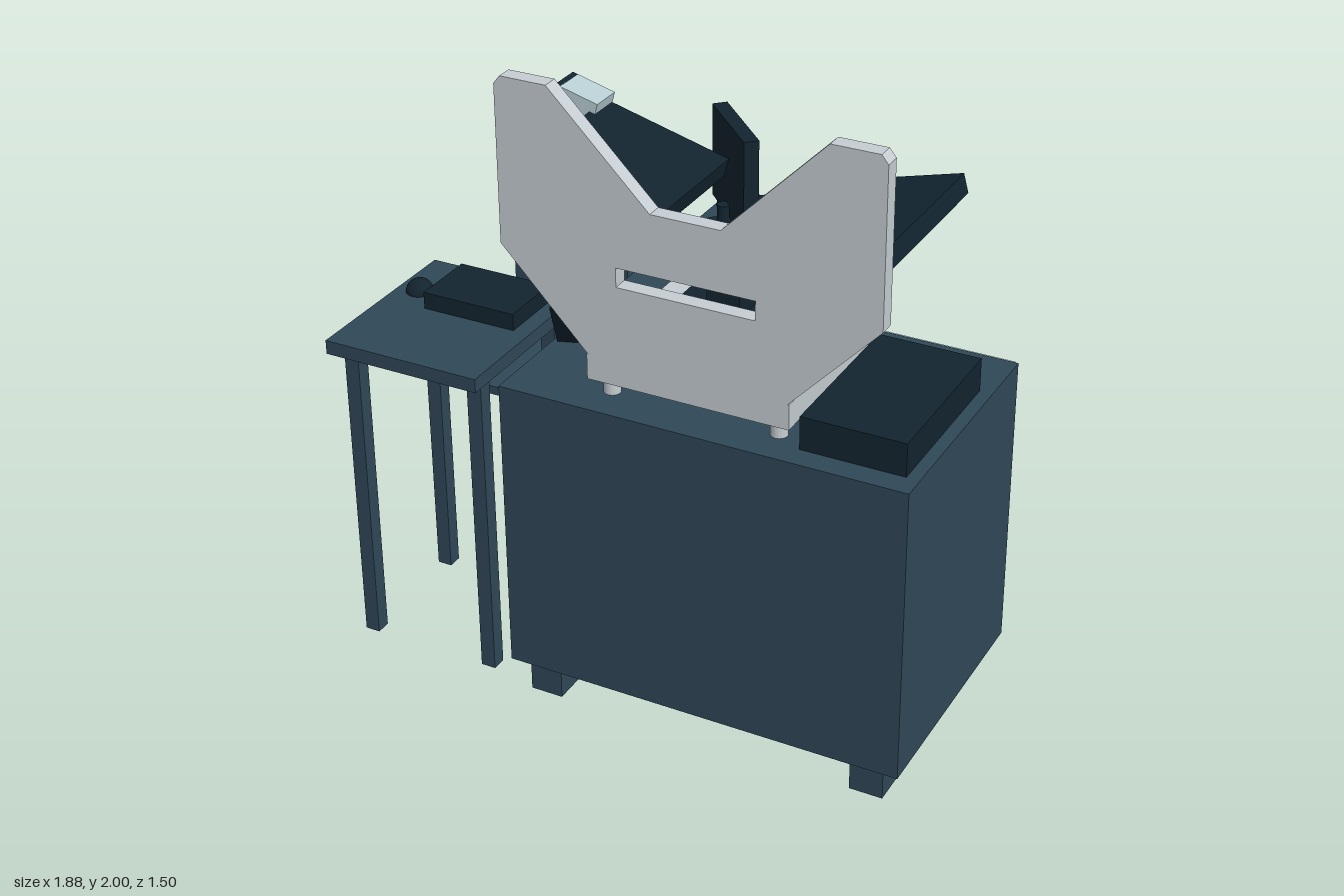
import * as THREE from 'three';

const mat = (color) => new THREE.MeshStandardMaterial({ color });
const body = mat(0x2f4858), black = mat(0x12242f), light = mat(0xb9cfd4), pale = mat(0xc6ced3);
const red = mat(0xd9504c), yellow = mat(0xd8c030);

export function createModel() {
  const model = new THREE.Group();

  const add = (name, geometry, material, x = 0, y = 0, z = 0, parent = model) => {
    const mesh = new THREE.Mesh(geometry, material);
    mesh.name = name;
    mesh.position.set(x, y, z);
    parent.add(mesh);
    return mesh;
  };
  // Box given by its limits on each axis
  const box = (name, material, [x0, x1], [y0, y1], [z0, z1], parent) =>
    add(name, new THREE.BoxGeometry(x1 - x0, y1 - y0, z1 - z0), material,
      (x0 + x1) / 2, (y0 + y1) / 2, (z0 + z1) / 2, parent);
  // Box given by centre and size, for tilted parts
  const block = (name, material, size, centre, parent) =>
    add(name, new THREE.BoxGeometry(...size), material, ...centre, parent);
  const disc = (name, material, r, h, x, y, z, parent) =>
    add(name, new THREE.CylinderGeometry(r, r, h, 40), material, x, y, z, parent);
  const ball = (name, material, r, x, y, z, parent) =>
    add(name, new THREE.SphereGeometry(r, 24, 16), material, x, y, z, parent);
  // Square posts at all pairs of the given x and z centres
  const posts = (name, w, h, xs, zs, parent) => {
    for (const x of xs) for (const z of zs)
      box(name, body, [x - w / 2, x + w / 2], [0, h], [z - w / 2, z + w / 2], parent);
  };
  const group = (name) => {
    const g = new THREE.Group();
    g.name = name;
    model.add(g);
    return g;
  };
  const polygon = (points) => new THREE.Shape(points.map(([x, y]) => new THREE.Vector2(x, y)));
  const extrude = (shape, depth) =>
    new THREE.ExtrudeGeometry(shape, { depth, bevelEnabled: false, curveSegments: 32 });

  // Main cabinet with its doors on the back
  const cabinet = group('mainCabinet');
  box('cabinetBody', body, [-0.34, 0.94], [0.11, 1.065], [-0.06, 0.745], cabinet);
  posts('cabinetFoot', 0.105, 0.11, [-0.235, 0.832], [0.03, 0.665], cabinet);
  box('lowerDoor', light, [-0.32, 0.4], [0.13, 0.765], [-0.09, -0.06], cabinet);
  box('upperDoor', light, [-0.32, 0.4], [0.775, 1.05], [-0.09, -0.06], cabinet);
  const door = polygon([[0.41, 0.13], [0.92, 0.13], [0.92, 1.05], [0.41, 1.05]]);
  door.holes.push(new THREE.Path().absarc(0.56, 0.85, 0.08, 0, Math.PI * 2, true));
  add('buttonDoor', extrude(door, 0.03), light, 0, 0, -0.09, cabinet);
  disc('buttonPlate', yellow, 0.06, 0.02, 0.56, 0.85, -0.068, cabinet).rotation.x = Math.PI / 2;
  ball('stopButton', red, 0.03, 0.56, 0.85, -0.088, cabinet);

  // Units resting on the main cabinet
  box('controlBox', black, [0.58, 0.9], [1.065, 1.17], [0.14, 0.67]);
  const keypad = block('tiltedPanel', black, [0.22, 0.18, 0.05], [-0.21, 1.16, 0.43]);
  keypad.rotation.set(0.52, 0.33, 0, 'YXZ');

  // Machine base and upright front plate with a slot
  const machine = group('machine');
  box('basePlate', pale, [-0.085, 0.55], [1.12, 1.2], [0.145, 0.675], machine);
  for (const x of [-0.035, 0.495]) for (const z of [0.2, 0.62])
    disc('basePin', pale, 0.026, 0.06, x, 1.093, z, machine);
  const plate = polygon([[-0.08, 1.2], [0.545, 1.2], [0.82, 1.49], [0.82, 1.975], [0.8, 2],
    [0.655, 2], [0.34, 1.683], [0.125, 1.683], [-0.19, 2], [-0.335, 2], [-0.355, 1.975], [-0.355, 1.49]]);
  plate.holes.push(new THREE.Path().setFromPoints(polygon(
    [[0.015, 1.435], [0.015, 1.495], [0.445, 1.495], [0.445, 1.435]]).getPoints()));
  add('frontPlate', extrude(plate, 0.05), pale, 0, 0, 0.625, machine);

  // Stage stack
  box('lowerStage', black, [0.02, 0.44], [1.2, 1.222], [0.16, 0.555], machine);
  box('stageNeck', black, [0.06, 0.4], [1.222, 1.235], [0.2, 0.54], machine);
  box('crossStage', black, [0.07, 0.39], [1.23, 1.295], [0.16, 0.58], machine);
  box('stageColumn', black, [0.18, 0.285], [1.29, 1.46], [0.29, 0.45], machine);
  disc('stageDisc', black, 0.16, 0.018, 0.232, 1.466, 0.37, machine);
  for (const [y, z] of [[1.39, 0.265], [1.255, 0.132], [1.255, 0.565]])
    disc('stageKnob', pale, 0.02, 0.06, 0.232, y, z, machine).rotation.x = Math.PI / 2;

  // Two inclined wings rising outwards
  const tilt = Math.PI / 12;
  for (const s of [-1, 1])
    block('wing', black, [0.42, 0.06, 0.53], [0.232 + s * 0.373, 1.625, 0.357], machine)
      .rotation.z = s * tilt;
  const sensor = group('wingSensor');
  sensor.position.set(-0.385, 1.702, 0.142);
  sensor.rotation.z = -tilt;
  block('sensorBody', light, [0.13, 0.105, 0.105], [0, 0, 0], sensor);
  block('sensorCap', black, [0.018, 0.105, 0.105], [-0.072, 0, 0], sensor);

  // Work table with keyboard and mouse
  const table = group('table');
  box('tableTop', body, [-0.94, -0.42], [1.02, 1.065], [0.15, 0.745], table);
  posts('tableLeg', 0.048, 1.02, [-0.896, -0.466], [0.238, 0.66], table);
  box('tableKeyboard', black, [-0.79, -0.475], [1.065, 1.12], [0.225, 0.44], table);
  ball('tableMouse', black, 0.043, -0.865, 1.065, 0.35, table);

  // Chair behind the table
  const chair = group('chair');
  box('chairSeat', body, [-0.895, -0.47], [0.61, 0.64], [-0.3, 0.125], chair);
  box('chairBack', body, [-0.895, -0.47], [0.64, 1.06], [-0.3, -0.25], chair);
  posts('chairLeg', 0.036, 0.61, [-0.853, -0.511], [-0.232, 0.057], chair);

  // Side cabinet
  const side = group('sideCabinet');
  box('sideBody', light, [-0.34, 0.09], [0.11, 1.02], [-0.745, -0.275], side);
  box('sideTop', body, [-0.34, 0.09], [1.02, 1.065], [-0.745, -0.275], side);
  posts('sideFoot', 0.1, 0.11, [-0.28, 0.032], [-0.35, -0.668], side);

  // Screen, keyboard and mouse on the side cabinet
  disc('screenBase', black, 0.11, 0.02, -0.205, 1.075, -0.412, side);
  disc('screenNeck', black, 0.022, 0.12, -0.205, 1.12, -0.412, side);
  block('screen', black, [0.32, 0.32, 0.05], [-0.178, 1.3, -0.44], side).rotation.y = -Math.PI / 4;
  block('sideKeyboard', black, [0.32, 0.055, 0.21], [-0.03, 1.092, -0.56], side).rotation.y = -0.9;
  ball('sideMouse', black, 0.043, -0.295, 1.065, -0.63, side);

  return model;
}
